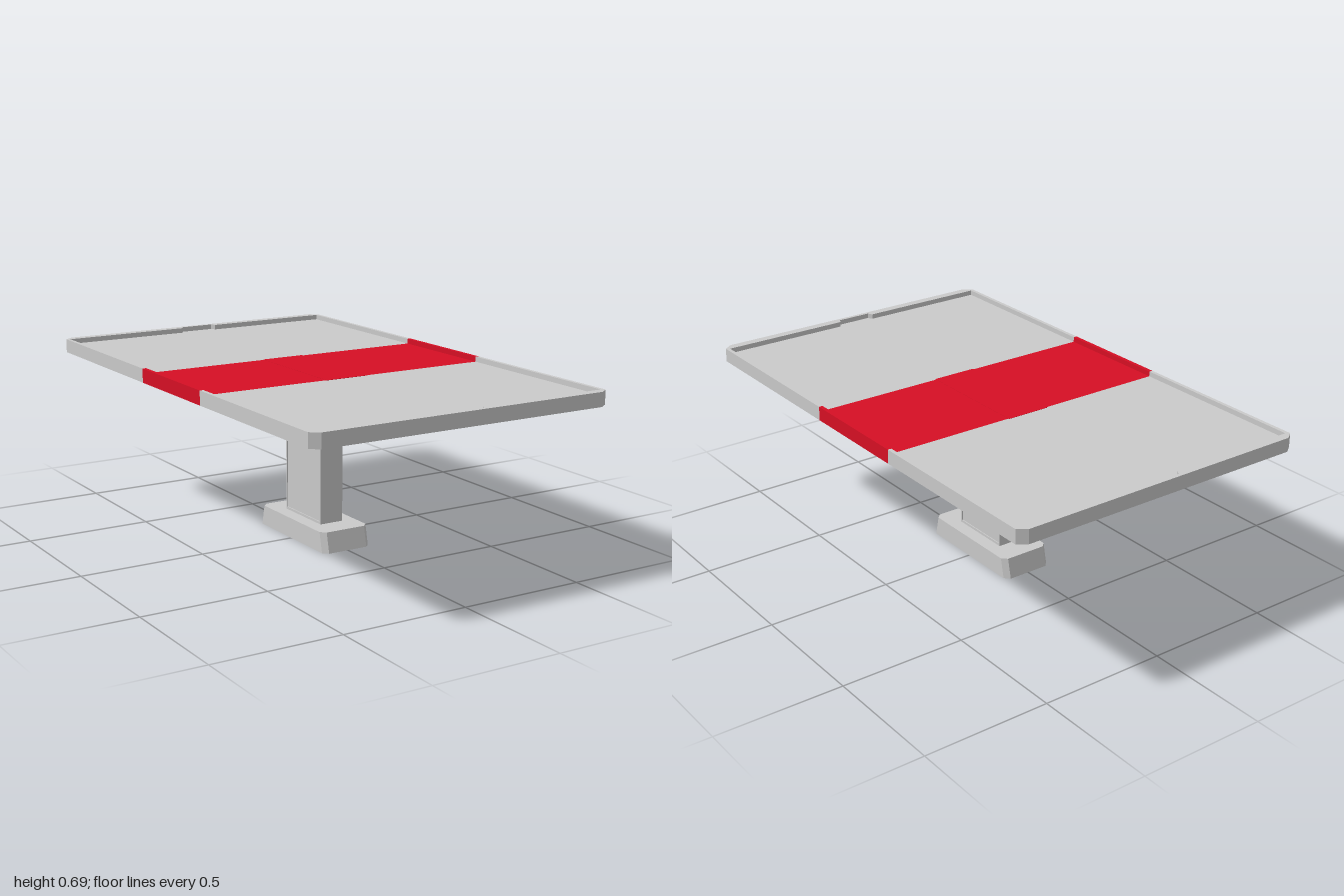
import * as THREE from 'three';

export function createModel() {
  const model = new THREE.Group();
  const grey = new THREE.MeshStandardMaterial({ color: 0xcacaca, flatShading: true });
  grey.name = 'light grey';
  const red = new THREE.MeshStandardMaterial({ color: 0xd60f24, flatShading: true });
  red.name = 'red';

  const add = (name, geometry, material, parent = model) => {
    const mesh = new THREE.Mesh(geometry, material);
    mesh.name = name;
    parent.add(mesh);
    return mesh;
  };
  // box given by its min and max corners
  const box = (name, material, x0, x1, y0, y1, z0, z1, parent) =>
    add(name, new THREE.BoxGeometry(x1 - x0, y1 - y0, z1 - z0), material, parent)
      .position.set((x0 + x1) / 2, (y0 + y1) / 2, (z0 + z1) / 2);
  // flat outline in x/z, raised from y0 to y1
  const slab = (points, y0, y1) => {
    const shape = new THREE.Shape(points.map(([x, z]) => new THREE.Vector2(x, z)));
    return new THREE.ExtrudeGeometry(shape, { depth: y1 - y0, bevelEnabled: false })
      .rotateX(-Math.PI / 2).translate(0, y0, 0);
  };

  const W = 0.62, IN = 0.605, BAND = 0.235;
  const RIM0 = 0.64, RIM1 = 0.695, PAN0 = 0.655, PAN1 = 0.675;

  // grey end halves of the roof: U-shaped rim with a shallow notch, plus panel
  const rim = [
    [W, BAND], [W, 0.975], [0.585, 1], [-0.585, 1], [-W, 0.975], [-W, BAND],
    [-IN, BAND], [-IN, 0.965], [-0.08, 0.965], [-0.07, 0.985],
    [0.07, 0.985], [0.08, 0.965], [IN, 0.965], [IN, BAND],
  ];
  for (const [name, turn] of [['backRoofHalf', 0], ['frontRoofHalf', Math.PI]]) {
    const half = new THREE.Group();
    half.name = name;
    add('roofRim', slab(rim, RIM0, RIM1), grey, half);
    box('roofPanel', grey, -IN, IN, PAN0, PAN1, -0.985, -BAND, half);
    half.rotation.y = turn;
    model.add(half);
  }

  // red band across the middle
  box('bandPanel', red, -IN, IN, PAN0, PAN1, -BAND, BAND);
  box('bandRimLeft', red, IN, W, RIM0, RIM1, -BAND, BAND);
  box('bandRimRight', red, -W, -IN, RIM0, RIM1, -BAND, BAND);

  // flared bracket with its mounting flange
  const bracket = new THREE.BoxGeometry(1, 1, 1);
  const bp = bracket.attributes.position;
  for (let i = 0; i < bp.count; i++) {
    const top = bp.getY(i) > 0;
    bp.setXYZ(i, Math.sign(bp.getX(i)) * (top ? 0.09 : 0.05), top ? 0.64 : 0.565,
      Math.sign(bp.getZ(i)) * (top ? 0.24 : 0.13));
  }
  bracket.computeVertexNormals();
  add('bracket', bracket, red);
  box('bracketHead', red, -0.09, 0.09, 0.64, PAN1 + 0.0008, -0.24, 0.24);
  box('bracketFlange', red, -0.125, 0.125, 0.638, 0.66, -0.28, 0.28);

  // post: core with a thin raised border on both broad sides
  box('postCore', grey, -0.046, 0.046, 0.08, 0.565, -0.13, 0.13);
  for (const s of [-1, 1]) {
    const x0 = s > 0 ? 0.046 : -0.05, x1 = x0 + 0.004;
    for (const e of [-1, 1]) {
      const z = e * 0.1265;
      box('postSideTrim', grey, x0, x1, 0.08, 0.565, z - 0.0035, z + 0.0035);
    }
    box('postLowerTrim', grey, x0, x1, 0.08, 0.09, -0.123, 0.123);
    box('postUpperTrim', grey, x0, x1, 0.555, 0.565, -0.123, 0.123);
  }

  // foot: chamfered block whose ends lean inward
  const foot = slab([
    [0.105, -0.23], [0.105, 0.23], [0.085, 0.25], [-0.085, 0.25],
    [-0.105, 0.23], [-0.105, -0.23], [-0.085, -0.25], [0.085, -0.25],
  ], 0, 0.08);
  const fp = foot.attributes.position;
  for (let i = 0; i < fp.count; i++) {
    if (fp.getY(i) > 0.04) fp.setZ(i, fp.getZ(i) - Math.sign(fp.getZ(i)) * 0.018);
  }
  foot.computeVertexNormals();
  add('foot', foot, grey);

  return model;
}
